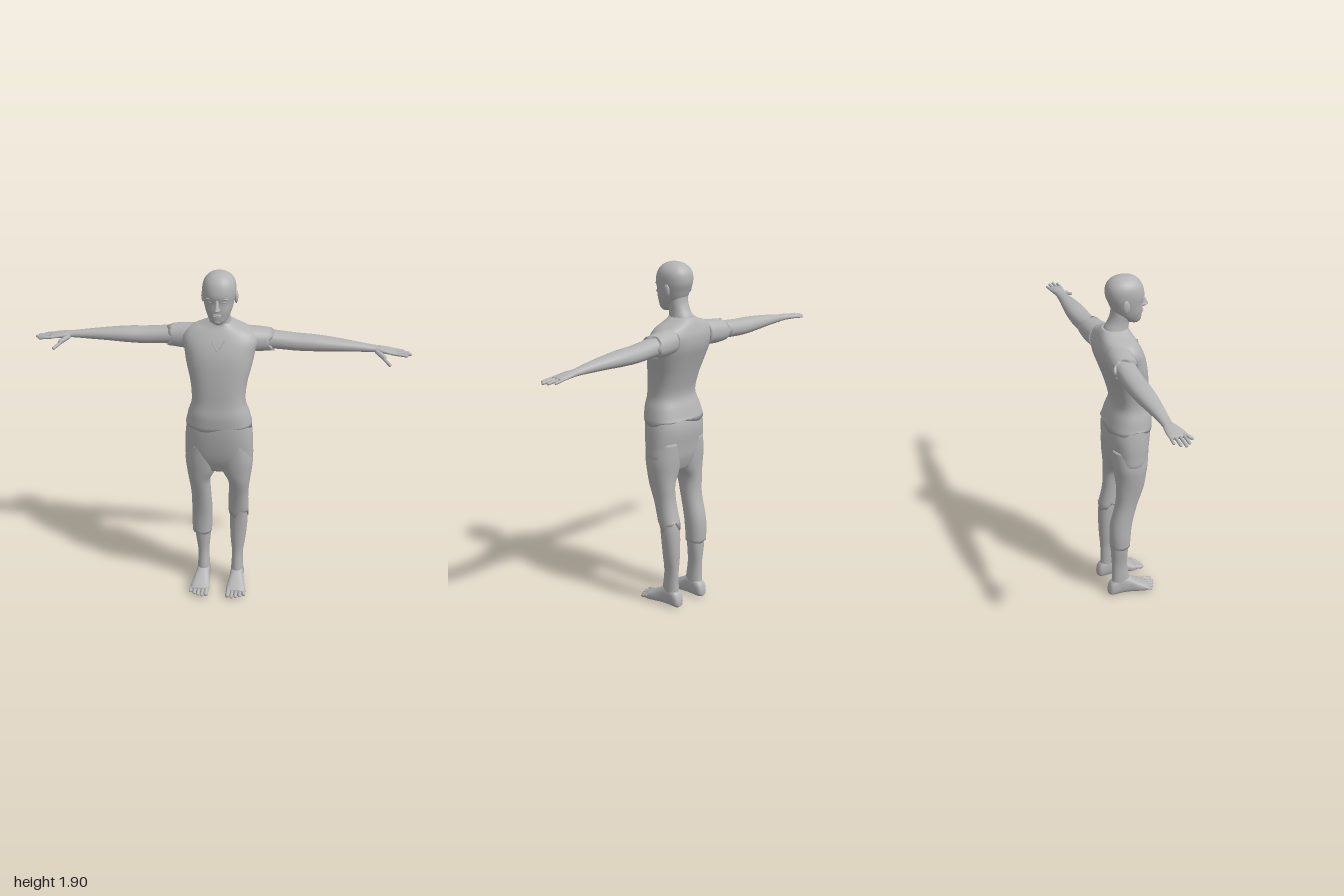
import * as THREE from 'three';

const grey = new THREE.MeshStandardMaterial({ color: 0xb4b4b4, side: THREE.DoubleSide });
grey.name = 'plain grey';

// Catmull-Rom through one column of the section rows
function spline(rows, k, s) {
  const n = rows.length - 1, i = Math.min(Math.floor(s), n - 1), t = s - i;
  const g = (j) => rows[Math.max(0, Math.min(n, j))][k];
  const a = g(i - 1), b = g(i), c = g(i + 1), d = g(i + 2);
  return 0.5 * (2 * b + (c - a) * t + (2 * a - 5 * b + 4 * c - d) * t * t + (3 * b - a - 3 * c + d) * t * t * t);
}

// Smooth skin over sections [t, u0, u1, v0, v1]; (t,u,v) is xyz, yzx or zxy.
// jag = ragged amplitude at the [first, last] ring.
function loft(axis, rows, { power = 2.2, jag = [0, 0], sides = 32, sub = 4 } = {}) {
  const pos = [], index = [], rings = (rows.length - 1) * sub;
  const o = { x: 0, y: 1, z: 2 }[axis];
  const put = (t, u, v) => {
    const p = [0, 0, 0];
    p[o] = t; p[(o + 1) % 3] = u; p[(o + 2) % 3] = v;
    pos.push(...p);
  };
  const round = (c) => Math.sign(c) * Math.abs(c) ** (2 / power);
  for (let i = 0; i <= rings; i++) {
    const [t, u0, u1, v0, v1] = [0, 1, 2, 3, 4].map((k) => spline(rows, k, i / sub));
    const amp = i === 0 ? jag[0] : i === rings ? jag[1] : 0;
    for (let j = 0; j < sides; j++) {
      const a = (j / sides) * Math.PI * 2;
      put(t + amp * (Math.sin(3 * a) + 0.5 * Math.sin(7 * a)),
        (u0 + u1) / 2 + (u1 - u0) / 2 * round(Math.cos(a)),
        (v0 + v1) / 2 + (v1 - v0) / 2 * round(Math.sin(a)));
      if (i < rings) {
        const p = i * sides + j, q = i * sides + (j + 1) % sides;
        index.push(p, q, q + sides, p, q + sides, p + sides);
      }
    }
  }
  // end caps
  const first = rows[0], last = rows[rows.length - 1], c = pos.length / 3;
  for (const r of [first, last]) put(r[0], (r[1] + r[2]) / 2, (r[3] + r[4]) / 2);
  for (let j = 0; j < sides; j++) {
    const k = (j + 1) % sides, e = rings * sides;
    index.push(c, k, j, c + 1, e + j, e + k);
  }
  const g = new THREE.BufferGeometry();
  g.setAttribute('position', new THREE.Float32BufferAttribute(pos, 3));
  g.setIndex(index);
  g.computeVertexNormals();
  return g;
}

// Rounded digit from p to q
function digit(p, q, r) {
  const a = new THREE.Vector3(...p), b = new THREE.Vector3(...q), d = b.clone().sub(a);
  const g = new THREE.CapsuleGeometry(r, Math.max(0.001, d.length() - 2 * r), 4, 10);
  g.applyQuaternion(new THREE.Quaternion().setFromUnitVectors(new THREE.Vector3(0, 1, 0), d.clone().normalize()));
  return g.translate(...a.add(b).multiplyScalar(0.5).toArray());
}

function ball(x, y, z, sx, sy, sz) {
  return new THREE.SphereGeometry(1, 16, 12).scale(sx, sy, sz).translate(x, y, z);
}

// Flip to the other side, keeping faces outward
function mirror(g) {
  g.scale(-1, 1, 1);
  const ix = g.index.array;
  for (let i = 0; i < ix.length; i += 3) [ix[i], ix[i + 1]] = [ix[i + 1], ix[i]];
  g.computeVertexNormals();
  return g;
}

export function createModel() {
  const model = new THREE.Group();
  model.name = 'standing figure';
  const add = (name, g) => {
    const m = new THREE.Mesh(g, grey);
    m.name = name;
    model.add(m);
  };

  // hips, shirt, neck: [y, z0, z1, x0, x1]
  add('trouserSeat', loft('y', [
    [0.78, -0.06, 0.07, -0.1, 0.1], [0.85, -0.085, 0.1, -0.178, 0.178], [0.92, -0.095, 0.118, -0.184, 0.184],
    [1.0, -0.105, 0.13, -0.181, 0.181], [1.06, -0.1, 0.134, -0.173, 0.173], [1.12, -0.08, 0.134, -0.16, 0.16],
  ], { power: 2.4 }));
  add('shirt', loft('y', [
    [1.06, -0.106, 0.138, -0.178, 0.178], [1.13, -0.085, 0.141, -0.163, 0.163], [1.2, -0.064, 0.132, -0.143, 0.143],
    [1.3, -0.088, 0.126, -0.15, 0.15], [1.4, -0.122, 0.115, -0.174, 0.174], [1.47, -0.146, 0.1, -0.187, 0.187],
    [1.53, -0.15, 0.075, -0.198, 0.198], [1.575, -0.138, 0.05, -0.165, 0.165], [1.605, -0.125, 0.032, -0.095, 0.095],
    [1.625, -0.11, 0.025, -0.055, 0.055],
  ], { power: 2.5, jag: [0.012, 0] }));
  add('neckline', new THREE.TubeGeometry(new THREE.CatmullRomCurve3([
    [-0.035, 1.55, 0.066], [-0.018, 1.522, 0.079], [0, 1.495, 0.09], [0.018, 1.522, 0.079], [0.035, 1.55, 0.066],
  ].map((p) => new THREE.Vector3(...p)), false, 'catmullrom', 0.1), 20, 0.003, 6));
  add('neck', loft('y', [
    [1.56, -0.115, 0.03, -0.075, 0.075], [1.62, -0.103, 0.028, -0.058, 0.058], [1.66, -0.08, 0.033, -0.052, 0.052],
    [1.7, -0.065, 0.045, -0.054, 0.054], [1.75, -0.06, 0.05, -0.055, 0.055],
  ]));

  // head and face
  add('head', loft('y', [
    [1.643, 0.045, 0.083, -0.02, 0.02], [1.66, 0, 0.096, -0.043, 0.043], [1.69, -0.035, 0.1, -0.06, 0.06],
    [1.72, -0.058, 0.104, -0.071, 0.071], [1.76, -0.075, 0.104, -0.08, 0.08], [1.8, -0.09, 0.112, -0.086, 0.086],
    [1.84, -0.09, 0.105, -0.085, 0.085], [1.87, -0.077, 0.09, -0.073, 0.073], [1.893, -0.05, 0.064, -0.048, 0.048],
    [1.904, -0.015, 0.03, -0.018, 0.018],
  ]));
  add('nose', loft('y', [
    [1.722, 0.08, 0.114, -0.013, 0.013], [1.732, 0.08, 0.138, -0.017, 0.017], [1.745, 0.08, 0.134, -0.012, 0.012],
    [1.785, 0.08, 0.113, -0.008, 0.008],
  ], { sides: 14 }));
  add('upperLip', ball(0, 1.704, 0.102, 0.024, 0.005, 0.01));
  add('lowerLip', ball(0, 1.694, 0.1, 0.02, 0.005, 0.01));
  add('chin', ball(0, 1.662, 0.085, 0.022, 0.017, 0.014));

  for (const [side, fix] of [['left', (g) => g], ['right', mirror]]) {
    const part = (name, g) => add(side + name, fix(g));
    part('Ear', ball(0.086, 1.765, -0.012, 0.01, 0.034, 0.02));
    part('Eye', ball(0.033, 1.77, 0.09, 0.014, 0.007, 0.012));
    part('Brow', ball(0.035, 1.789, 0.09, 0.024, 0.006, 0.015));

    // arm and palm: [x, y0, y1, z0, z1]
    part('Arm', loft('x', [
      [0.14, 1.46, 1.57, -0.13, -0.01], [0.2, 1.457, 1.567, -0.14, -0.018], [0.28, 1.462, 1.557, -0.14, -0.027],
      [0.4, 1.456, 1.545, -0.142, -0.03], [0.5, 1.458, 1.54, -0.14, -0.03], [0.6, 1.463, 1.53, -0.13, -0.036],
      [0.7, 1.466, 1.518, -0.116, -0.045], [0.8, 1.469, 1.503, -0.107, -0.053], [0.84, 1.468, 1.499, -0.112, -0.043],
      [0.89, 1.466, 1.49, -0.115, -0.034], [0.92, 1.467, 1.483, -0.111, -0.036],
    ]));
    part('Sleeve', loft('x', [
      [0.12, 1.45, 1.585, -0.14, 0.02], [0.2, 1.448, 1.577, -0.147, -0.005], [0.27, 1.453, 1.568, -0.147, -0.018],
    ], { jag: [0, 0.014] }));
    [[-0.106, 0.96, 0.007], [-0.084, 0.988, 0.008], [-0.062, 1, 0.008], [-0.041, 0.982, 0.008]].forEach(([z, x, r], i) =>
      part('Finger' + (i + 1), digit([0.89, 1.477, z], [x, 1.468, z * 1.08 + 0.006], r)));
    part('ThumbBase', digit([0.81, 1.483, -0.062], [0.867, 1.455, -0.015], 0.013));
    part('Thumb', digit([0.845, 1.463, -0.03], [0.893, 1.432, 0.018], 0.009));

    // lower leg and trouser leg: [y, z0, z1, x0, x1]
    part('Shin', loft('y', [
      [0.04, -0.108, 0, 0.062, 0.13], [0.1, -0.1, 0, 0.062, 0.13], [0.2, -0.1, -0.012, 0.066, 0.128],
      [0.3, -0.106, -0.009, 0.057, 0.142], [0.42, -0.107, -0.002, 0.053, 0.153], [0.5, -0.099, 0.009, 0.052, 0.152],
      [0.6, -0.074, 0.036, 0.056, 0.152],
    ]));
    const legRows = [
      [0.33, -0.111, 0, 0.05, 0.157], [0.4, -0.114, 0.004, 0.047, 0.161], [0.48, -0.108, 0.014, 0.046, 0.159],
      [0.6, -0.08, 0.043, 0.05, 0.158], [0.7, -0.075, 0.075, 0.05, 0.168], [0.77, -0.078, 0.09, 0.016, 0.178],
      [0.85, -0.086, 0.102, -0.002, 0.184], [0.95, -0.09, 0.11, 0, 0.17],
    ];
    part('TrouserLeg', side === 'left'
      ? loft('y', legRows.slice(2), { jag: [0.022, 0] })
      : loft('y', legRows, { jag: [0.004, 0] }));

    // foot: [z, x0, x1, y0, y1]
    part('Foot', loft('z', [
      [-0.123, 0.08, 0.112, 0.01, 0.045], [-0.105, 0.063, 0.129, 0, 0.085], [-0.05, 0.06, 0.132, 0, 0.118],
      [0, 0.058, 0.138, 0, 0.1], [0.04, 0.052, 0.148, 0, 0.074], [0.08, 0.048, 0.155, 0, 0.052],
      [0.108, 0.052, 0.153, 0.004, 0.036],
    ], { power: 2.6 }));
    [0.152, 0.155, 0.148, 0.138, 0.123].forEach((z, i) => {
      const x = 0.062 + i * 0.0215, r = i ? 0.0095 : 0.013;
      part('Toe' + (i + 1), digit([x, 0.03, 0.075], [x + i * 0.001, r + 0.006, z], r));
    });
  }
  return model;
}
